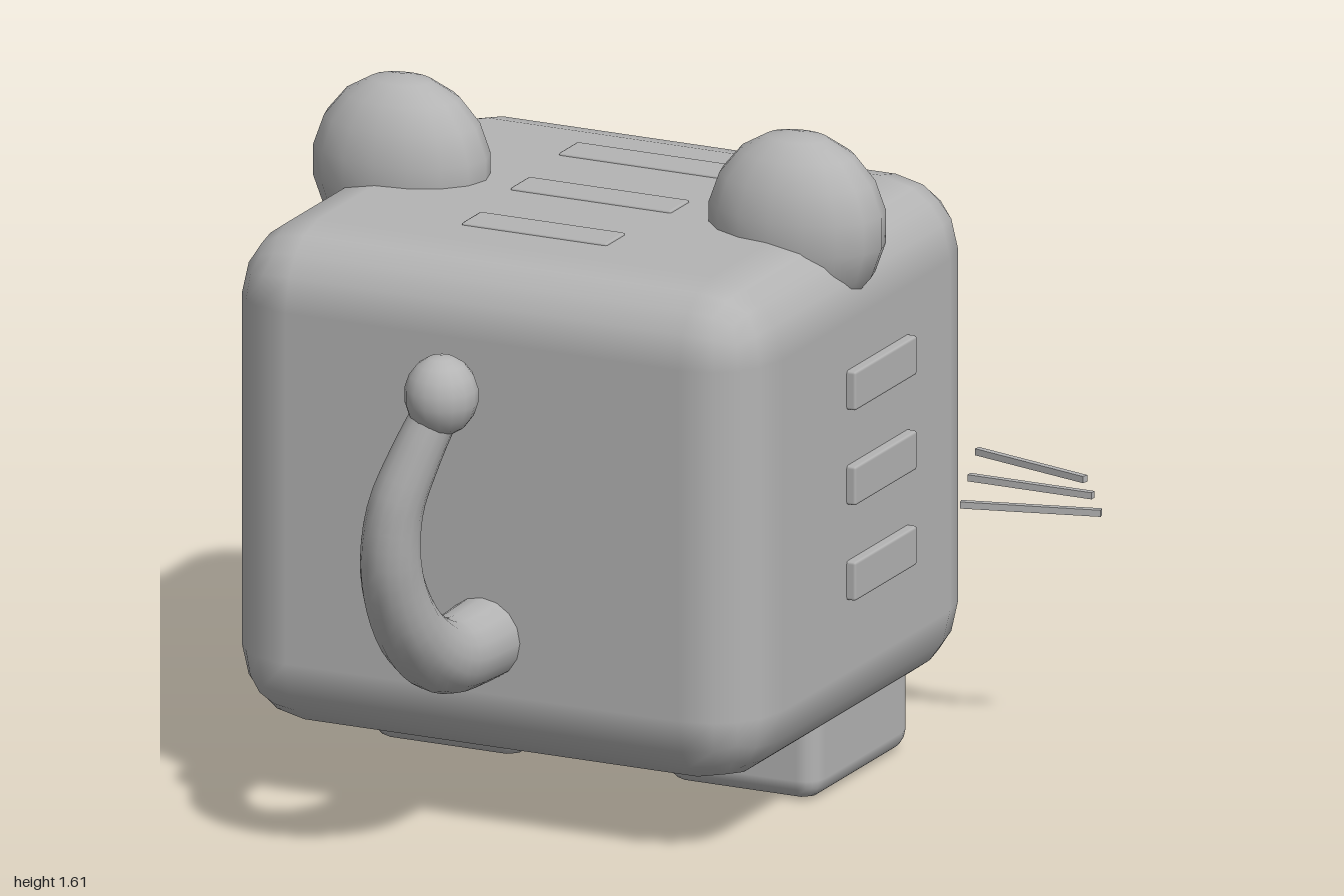
import * as THREE from 'three';
import { RoundedBoxGeometry } from 'three/addons/geometries/RoundedBoxGeometry.js';

const grey = new THREE.MeshStandardMaterial({ color: 0xb4b4b4 });
grey.name = 'plain grey';

export function createModel() {
  const model = new THREE.Group();
  model.name = 'boxCat';

  const add = (name, geometry, x, y, z) => {
    const mesh = new THREE.Mesh(geometry, grey);
    mesh.name = name;
    mesh.position.set(x, y, z);
    model.add(mesh);
    return mesh;
  };
  const box = (name, [w, h, d], [x, y, z], r, segments = 1) =>
    add(name, new RoundedBoxGeometry(w, h, d, segments, r), x, y, z);
  const ellipsoid = (name, [rx, ry, rz], [x, y, z], segments = 20) =>
    add(name, new THREE.SphereGeometry(1, segments, segments * 0.6).scale(rx, ry, rz), x, y, z);

  // Body, with the face on the -z side and the tail on +z
  box('body', [1.374, 1.21, 1.236], [0, 0.775, -0.232], 0.18, 2);

  for (const s of [-1, 1]) {
    ellipsoid('ear', [0.22, 0.22, 0.155], [s * 0.51, 1.39, -0.23], 16);
    box('foot', [0.4, 0.3, 0.51], [s * 0.38, 0.15, -0.437], 0.05, 2);

    // Side stripes
    for (const y of [0.572, 0.803, 1.033])
      box('sideStripe', [0.06, 0.095, 0.325], [s * 0.68, y, -0.292], 0.007);

    // Whiskers: the upper and lower ones cross the middle one
    [[0.692, 1], [0.641, 0], [0.587, -1]].forEach(([y, tilt]) => {
      const whisker = add('whisker', new THREE.BoxGeometry(tilt ? 0.332 : 0.32, 0.016, 0.016), s * 0.84, y, -0.783);
      whisker.rotation.y = -s * tilt * 0.26;
    });

    // Eyes, with both highlights leaning the same way
    const ex = s * 0.343;
    ellipsoid('eye', [0.14, 0.195, 0.05], [ex, 0.86, -0.84]);
    ellipsoid('eyeHighlightLarge', [0.05, 0.062, 0.03], [ex + 0.03, 0.925, -0.88], 16);
    ellipsoid('eyeHighlightSmall', [0.019, 0.024, 0.018], [ex - 0.015, 0.79, -0.88], 12);

    // Mouth half
    const mouth = box('mouth', [0.125, 0.014, 0.014], [s * 0.058, 0.487, -0.872], 0.003);
    mouth.rotation.z = s * 0.36;
  }

  // Stripes across the back
  [[0.455, -0.53], [0.415, -0.237], [0.375, 0.058]].forEach(([w, z]) =>
    box('backStripe', [w, 0.04, 0.1], [-0.003, 1.366, z], 0.006));

  // Forehead marks
  for (const x of [-0.18, 0, 0.18])
    box('foreheadMark', [0.062, 0.026, 0.03], [x - 0.003, 1.22, -0.841], 0.005);

  // Muzzle and nose
  box('muzzle', [0.58, 0.33, 0.05], [0, 0.515, -0.85], 0.008);
  ellipsoid('nose', [0.08, 0.055, 0.05], [0, 0.637, -0.87], 16);

  // Tail: a tube narrowed towards the tip
  const path = new THREE.CatmullRomCurve3([
    [0, 0.485, 0.3], [0, 0.482, 0.42], [0, 0.5, 0.6], [-0.008, 0.6, 0.745],
    [-0.012, 0.76, 0.833], [0.005, 0.92, 0.85], [0.045, 1.05, 0.825], [0.09, 1.17, 0.79],
  ].map(p => new THREE.Vector3(...p)));
  const rings = 28, sides = 16;
  const tail = new THREE.TubeGeometry(path, rings, 1, sides);
  const pos = tail.attributes.position, v = new THREE.Vector3();
  for (let i = 0; i < pos.count; i++) {
    const t = Math.floor(i / (sides + 1)) / rings;
    const centre = path.getPointAt(t);
    v.fromBufferAttribute(pos, i).sub(centre).multiplyScalar(0.102 - 0.048 * t).add(centre);
    pos.setXYZ(i, v.x, v.y, v.z);
  }
  add('tail', tail, 0, 0, 0);
  ellipsoid('tailTip', [0.087, 0.096, 0.088], [0.095, 1.197, 0.79], 16);

  return model;
}
